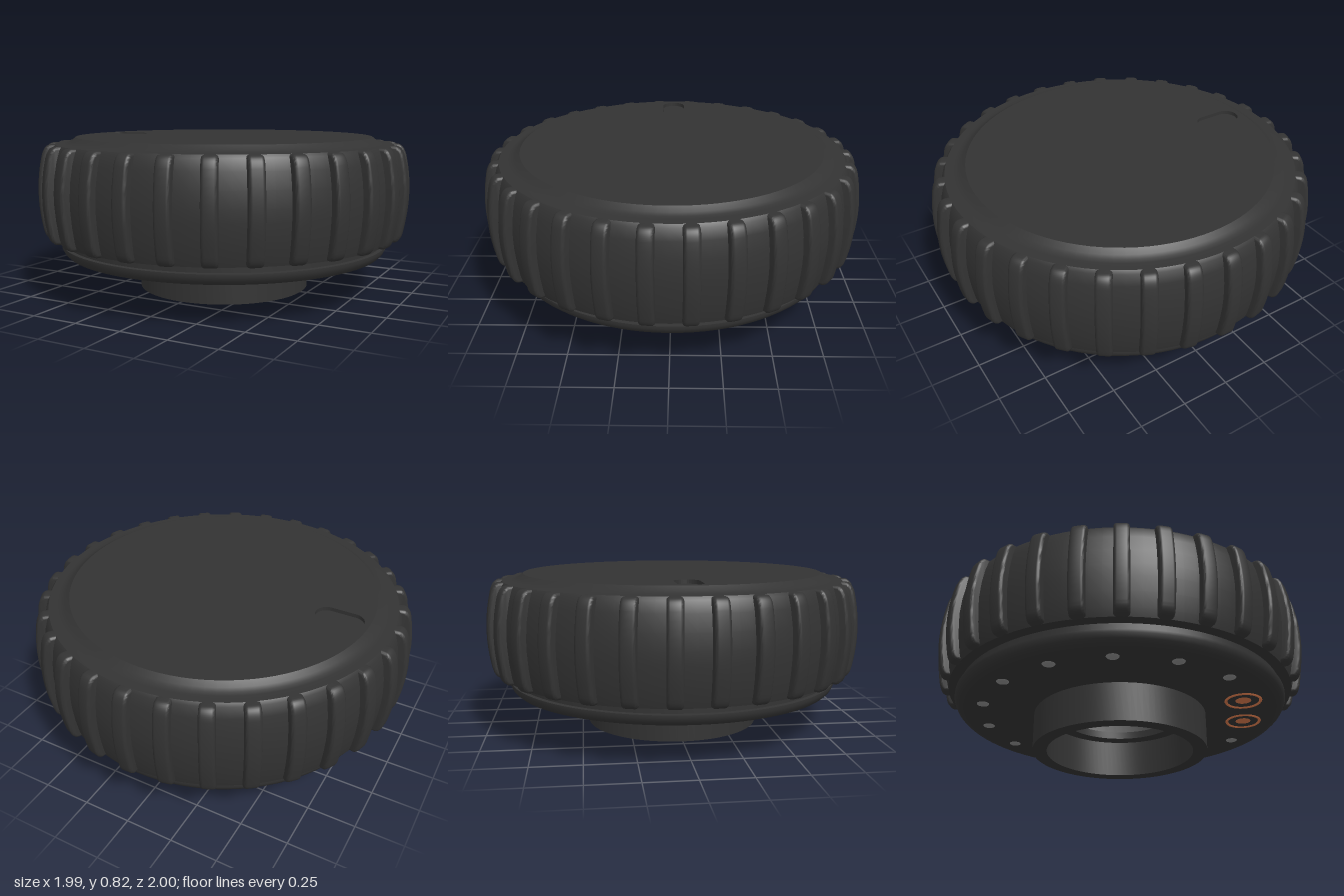
import * as THREE from 'three';
import { toCreasedNormals } from 'three/addons/utils/BufferGeometryUtils.js';

const rubber = new THREE.MeshStandardMaterial({ color: 0x333333 });
const copper = new THREE.MeshStandardMaterial({ color: 0xd4774a });
const steel = new THREE.MeshStandardMaterial({ color: 0x888888 });

function part(name, geometry, material = rubber) {
  const mesh = new THREE.Mesh(geometry, material);
  mesh.name = name;
  return mesh;
}

// Revolve [radius, y] points, listed up the outside and down the inside
function lathe(points, segments = 96) {
  const profile = points.map(([r, y]) => new THREE.Vector2(r, y));
  return toCreasedNormals(new THREE.LatheGeometry(profile, segments), 0.6);
}

// One grip rib: a bowed side profile in (radius, y), extruded to its width
function ribGeometry() {
  const s = new THREE.Shape();
  s.moveTo(0.89, 0.315);
  s.lineTo(0.94, 0.315);
  s.quadraticCurveTo(0.958, 0.318, 0.965, 0.36);
  s.quadraticCurveTo(1.005, 0.545, 0.962, 0.73);
  s.quadraticCurveTo(0.95, 0.773, 0.93, 0.775);
  s.lineTo(0.89, 0.775);
  s.closePath();
  const g = new THREE.ExtrudeGeometry(s, {
    depth: 0.044, bevelEnabled: true, bevelSize: 0.015, bevelThickness: 0.016,
    bevelSegments: 3, curveSegments: 10,
  });
  g.translate(0, 0, -0.022);
  return toCreasedNormals(g, 0.7);
}

export function createModel() {
  const model = new THREE.Group();

  // Bowed outer ring with a raised shoulder around the cap
  model.add(part('gripRing', lathe([
    [0.86, 0.3], [0.925, 0.3], [0.936, 0.34], [0.948, 0.42], [0.955, 0.5], [0.956, 0.56],
    [0.95, 0.64], [0.936, 0.72], [0.92, 0.775], [0.908, 0.79], [0.865, 0.791], [0.845, 0.795],
    [0.825, 0.806], [0.8, 0.825], [0.8, 0.785], [0.87, 0.77], [0.875, 0.55], [0.86, 0.3],
  ])));

  // Ribs every 12 degrees
  const ribs = new THREE.Group();
  ribs.name = 'gripRibs';
  const ribGeo = ribGeometry();
  for (let i = 0; i < 30; i++) {
    const rib = part('rib', ribGeo);
    rib.rotation.y = Math.PI / 2 + (i * Math.PI) / 15;
    ribs.add(rib);
  }
  model.add(ribs);

  // Top cap with a rounded pointer slot
  const disc = new THREE.Shape().absarc(0, 0, 0.8, 0, Math.PI * 2);
  const slot = new THREE.Path();
  slot.absarc(-0.707, 0, 0.063, Math.PI / 2, Math.PI * 1.5);
  slot.absarc(-0.583, 0, 0.063, -Math.PI / 2, Math.PI / 2);
  slot.closePath();
  disc.holes.push(slot);
  const capGeo = new THREE.ExtrudeGeometry(disc, { depth: 0.03, bevelEnabled: false, curveSegments: 48 });
  capGeo.rotateX(-Math.PI / 2).translate(0, 0.795, 0);
  model.add(part('topCap', toCreasedNormals(capGeo, 0.6)));
  const floor = part('slotFloor', new THREE.BoxGeometry(0.27, 0.02, 0.14));
  floor.position.set(-0.645, 0.795, 0);
  model.add(floor);

  // Base plate: rounded rim, neck under the ring, open centre
  model.add(part('basePlate', lathe([
    [0.32, 0.2], [0.835, 0.2], [0.86, 0.206], [0.877, 0.222], [0.888, 0.245], [0.888, 0.26],
    [0.868, 0.262], [0.868, 0.34], [0.83, 0.34], [0.83, 0.24], [0.32, 0.24], [0.32, 0.2],
  ])));

  // Hollow hub
  model.add(part('hub', lathe([
    [0.39, 0], [0.465, 0], [0.465, 0.205], [0.39, 0.205], [0.39, 0],
  ])));

  // Fifteen places around the underside: two contacts, the rest studs
  const contactGeo = lathe([
    [0, 0.195], [0.03, 0.197], [0.055, 0.204], [0.068, 0.212], [0.073, 0.212],
    [0.085, 0.194], [0.093, 0.194], [0.098, 0.202],
  ], 32);
  const studGeo = lathe([[0, 0.19], [0.018, 0.192], [0.03, 0.197], [0.035, 0.204]], 20);
  for (let i = 0; i < 15; i++) {
    const a = Math.PI * (33 + i * 24) / 180;
    const contact = i < 2;
    const mesh = contact ? part('contact', contactGeo, copper) : part('stud', studGeo, steel);
    const r = contact ? 0.68 : 0.74;
    mesh.position.set(r * Math.cos(a), 0, r * Math.sin(a));
    model.add(mesh);
  }

  return model;
}
